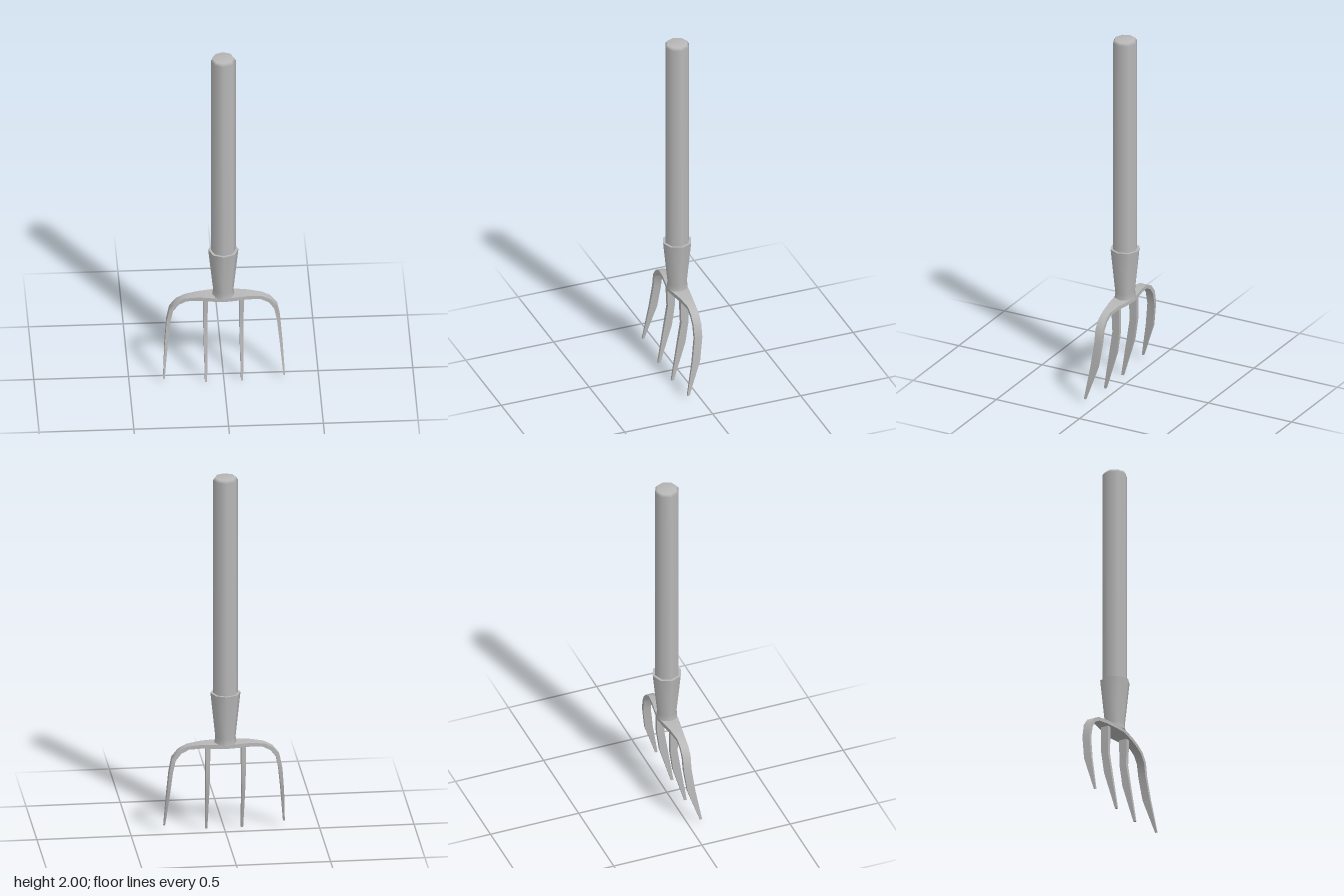
import * as THREE from 'three';
import { toCreasedNormals } from 'three/addons/utils/BufferGeometryUtils.js';

// Four-sided loft; each section is [outerX, outerY, innerX, innerY, frontZ, backZ]
function loft(sections) {
  const rings = sections.map(([ox, oy, ix, iy, f, b]) =>
    [[ox, oy, f], [ox, oy, b], [ix, iy, b], [ix, iy, f]]);
  const pos = [];
  const quad = (a, b, c, d) => pos.push(...a, ...b, ...c, ...a, ...c, ...d);
  for (let i = 0; i < rings.length - 1; i++) {
    const p = rings[i], q = rings[i + 1];
    for (let k = 0; k < 4; k++) {
      const n = (k + 1) % 4;
      quad(p[k], q[k], q[n], p[n]);
    }
  }
  const last = rings[rings.length - 1];
  quad(...rings[0]);
  quad(last[3], last[2], last[1], last[0]);
  const g = new THREE.BufferGeometry();
  g.setAttribute('position', new THREE.Float32BufferAttribute(pos, 3));
  g.computeVertexNormals();
  return toCreasedNormals(g, 0.5);
}

function octagonLathe(points) {
  return new THREE.LatheGeometry(points.map(([r, y]) => new THREE.Vector2(r, y)), 8);
}

export function createModel() {
  const group = new THREE.Group();
  const grey = new THREE.MeshStandardMaterial({ color: 0xb8b8b8 });
  grey.name = 'grey';
  const add = (name, geometry) => {
    const mesh = new THREE.Mesh(geometry, grey);
    mesh.name = name;
    group.add(mesh);
  };

  // Eight-sided handle with a bevelled end
  add('handle', octagonLathe([[0.066, 0.75], [0.066, 1.985], [0.056, 2], [0, 2]]));

  // Tapered socket, flaring slightly at its foot, with a flat rim
  add('socket', octagonLathe([[0.059, 0.505], [0.054, 0.54], [0.08, 0.788]]));
  add('socketRim', octagonLathe([[0.08, 0.788], [0.062, 0.788]]));
  add('socketBase', octagonLathe([[0, 0.505], [0.059, 0.505]]));

  // Crossbar and outer tines are one continuous bent strip, mirrored in x
  const half = [
    [0, 0.508, 0, 0.487, 0.052, -0.052],
    [0.06, 0.508, 0.06, 0.487, 0.044, -0.044],
    [0.13, 0.508, 0.13, 0.487, 0.032, -0.032],
    [0.205, 0.498, 0.195, 0.48, 0.022, -0.022],
    [0.25, 0.474, 0.236, 0.459, 0.022, -0.022],
    [0.285, 0.43, 0.266, 0.42, 0.022, -0.022],
    [0.3, 0.355, 0.281, 0.35, 0.021, -0.022],
    [0.311, 0.22, 0.295, 0.22, 0.038, -0.005],
    [0.322, 0.027, 0.313, 0.027, 0.072, 0.06],
  ];
  const mirrored = half.slice(1).reverse()
    .map(([ox, oy, ix, iy, f, b]) => [-ox, oy, -ix, iy, f, b]);
  add('crossbarAndOuterTines', loft([...mirrored, ...half]));

  // Straight inner tines, curving forward to the tip
  for (const [name, x] of [['leftInnerTine', 0.095], ['rightInnerTine', -0.095]]) {
    const profile = [
      [0.495, 0.012, 0.022, -0.022],
      [0.42, 0.012, 0.022, -0.022],
      [0.34, 0.011, 0.019, -0.021],
      [0.22, 0.009, 0.038, -0.005],
      [0, 0.006, 0.073, 0.06],
    ];
    add(name, loft(profile.map(([y, w, f, b]) => [x + w, y, x - w, y, f, b])));
  }
  return group;
}
